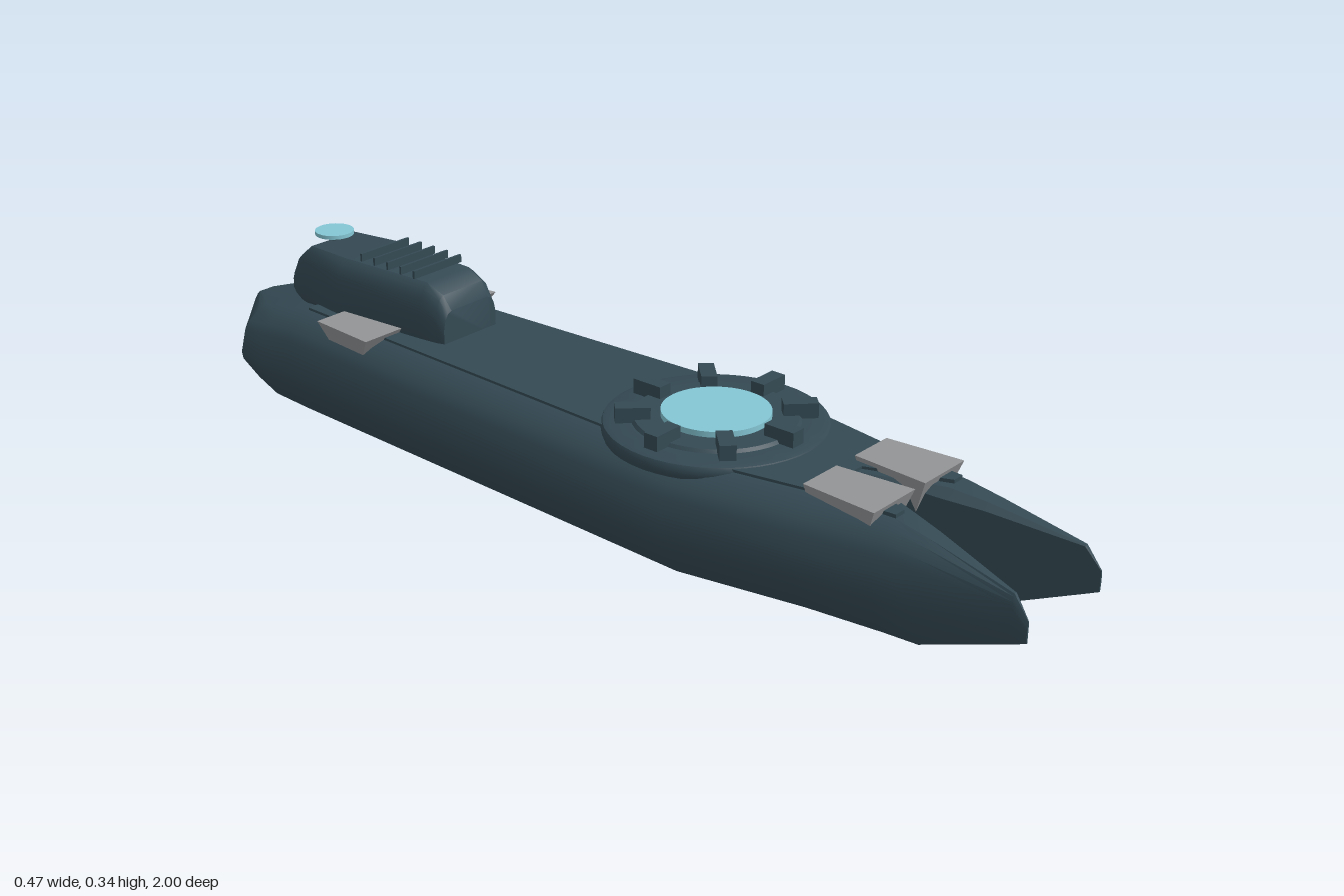
import * as THREE from 'three';
import { toCreasedNormals } from 'three/addons/utils/BufferGeometryUtils.js';

const material = (name, color) => {
  const m = new THREE.MeshStandardMaterial({ color });
  m.name = name;
  return m;
};

// Skin closed rings of [x, y, z], counter-clockwise seen from +z, ordered towards +z
function loft(rings, crease = 0.5) {
  const n = rings[0].length, last = (rings.length - 1) * n, index = [];
  for (let i = 0; i < rings.length - 1; i++) {
    for (let j = 0; j < n; j++) {
      const a = i * n + j, b = i * n + (j + 1) % n;
      index.push(a, b, b + n, a, b + n, a + n);
    }
  }
  for (let j = 1; j < n - 1; j++) {
    index.push(0, j + 1, j, last, last + j, last + j + 1);
  }
  const g = new THREE.BufferGeometry();
  g.setAttribute('position', new THREE.Float32BufferAttribute(rings.flat(2), 3));
  g.setIndex(index);
  return toCreasedNormals(g, crease);
}

const mirrorRings = (rings) => rings.map((r) => r.map(([x, y, z]) => [-x, y, z]).reverse());

// Half of a hull section, from the inner bottom corner round to the inner top
function hullRing([z, xi, xo, yb, yt]) {
  const k = Math.min(1, (xo - xi) / 0.15), h = yt - yb, bevel = xi > 0 ? 0.02 * k : 0;
  return [
    [xi, yb], [xo - 0.055 * k, yb], [xo - 0.042 * k, yb + 0.05 * h],
    [xo - 0.003 * k, yb + 0.38 * h], [xo, yb + 0.48 * h], [xo - 0.013 * k, yb + 0.76 * h],
    [xo - 0.027 * k, yb + 0.86 * h], [xo - 0.05 * k, yb + 0.95 * h],
    [xo - 0.075 * k, yt], [xi + bevel, yt], [xi, yt - bevel],
  ].map(([x, y]) => [x, y, z]);
}

// Rounded cabin section
function cabinRing([z, w, yb, yt]) {
  const h = yt - yb;
  const half = [
    [0.8 * w, yb], [w, yb + 0.2 * h], [w, yb + 0.55 * h], [0.94 * w, yb + 0.78 * h],
    [0.84 * w, yb + 0.93 * h], [0.7 * w, yt],
  ];
  return [...half, ...half.map(([x, y]) => [-x, y]).reverse()].map(([x, y]) => [x, y, z]);
}

// Tapered intake block: broad top, narrow base, narrower towards the rear
function intakeGeometry(depth) {
  const ring = (z, top, bottom, drop) => [
    [-bottom, -drop, z], [bottom, -drop, z], [top, 0, z], [-top, 0, z],
  ];
  const rings = [ring(-0.077, 0.048, 0.036, depth), ring(0.077, 0.06, 0.043, depth)];
  rings[0].slice(0, 2).forEach((p) => { p[2] += 0.025; });
  rings[1].slice(0, 2).forEach((p) => { p[2] -= 0.03; });
  return loft(rings, 0.2);
}

export function createModel() {
  const model = new THREE.Group();
  const dark = material('dark slate', 0x344953);
  const cyan = material('pale cyan', 0x84c6d4);
  const grey = material('grey metal', 0x929496);

  const add = (name, geometry, mat, x = 0, y = 0, z = 0, parent = model) => {
    const mesh = new THREE.Mesh(geometry, mat);
    mesh.name = name;
    mesh.position.set(x, y, z);
    parent.add(mesh);
    return mesh;
  };

  // Hull halves: pointed stern, split twin-pronged bow
  // z, inner x, outer x, bottom, top
  const hull = [
    [-1, 0, 0.004, 0.08, 0.11],
    [-0.97, 0, 0.038, 0.07, 0.155],
    [-0.84, 0, 0.183, 0.022, 0.187],
    [-0.78, 0, 0.188, 0.002, 0.198],
    [-0.7, 0, 0.191, 0, 0.21],
    [0.33, 0, 0.235, 0, 0.21],
    [0.58, 0, 0.19, 0, 0.21],
    [0.73, 0.04, 0.163, 0, 0.208],
    [0.8, 0.06, 0.151, 0.003, 0.197],
    [0.97, 0.106, 0.121, 0.068, 0.16],
    [1, 0.113, 0.117, 0.08, 0.12],
  ].map(hullRing);
  add('leftHull', loft(hull), dark);
  add('rightHull', loft(mirrorRings(hull)), dark);

  // Thin raised deck
  const side = [[0.115, -0.7], [0.16, 0.33], [0.11, 0.6], [0.1, 0.73], [0.075, 0.73]];
  const outline = [
    ...side, [0.015, 0.58], [-0.015, 0.58],
    ...side.map(([x, z]) => [-x, z]).reverse(),
  ].map(([x, z]) => new THREE.Vector2(x, z));
  const deck = new THREE.ExtrudeGeometry(new THREE.Shape(outline), { depth: 0.014, bevelEnabled: false });
  deck.rotateX(Math.PI / 2);
  add('deckPlate', deck, dark, 0, 0.215, 0);

  // Circular pad with glowing centre and radial clamps
  const pad = new THREE.Group();
  pad.name = 'circularPad';
  pad.position.z = 0.27;
  model.add(pad);
  const profile = [
    [0, 0.187], [0.198, 0.187], [0.207, 0.191], [0.21, 0.198], [0.21, 0.21],
    [0.206, 0.217], [0.197, 0.22], [0.155, 0.22], [0.15, 0.226], [0, 0.226],
  ].map(([r, y]) => new THREE.Vector2(r, y));
  add('padRing', toCreasedNormals(new THREE.LatheGeometry(profile, 48), 0.6), dark, 0, 0, 0, pad);
  add('padLight', new THREE.CylinderGeometry(0.101, 0.101, 0.017, 48), cyan, 0, 0.2285, 0, pad);
  for (let i = 0; i < 8; i++) {
    const clamp = new THREE.Group();
    clamp.name = 'clamp';
    clamp.rotation.y = i * Math.PI / 4;
    pad.add(clamp);
    add('clampBlock', new THREE.BoxGeometry(0.03, 0.03, 0.064), dark, 0, 0.234, 0.152, clamp);
  }

  // Intake blocks at bow and stern
  const bowIntake = intakeGeometry(0.085), sternIntake = intakeGeometry(0.045);
  for (const s of [1, -1]) {
    add('bowIntake', bowIntake, grey, s * 0.075, 0.224, 0.633);
    add('sternIntake', sternIntake, grey, s * 0.122, 0.225, -0.535);
  }

  // Cabin
  const cabin = [
    [-0.8, 0.066, 0.21, 0.265],
    [-0.785, 0.073, 0.195, 0.292],
    [-0.745, 0.084, 0.185, 0.322],
    [-0.63, 0.099, 0.185, 0.326],
    [-0.41, 0.082, 0.185, 0.326],
    [-0.37, 0.077, 0.19, 0.308],
    [-0.352, 0.072, 0.2, 0.28],
  ].map(cabinRing);
  add('cabin', loft(cabin, 0.6), dark);

  // Louvre slats and round sensor above the cabin
  for (let i = 0; i < 5; i++) {
    add('louvre', new THREE.BoxGeometry(0.13, 0.016, 0.005), dark, 0, 0.336, -0.59 + i * 0.0375);
  }
  add('sensorDisc', new THREE.CylinderGeometry(0.04, 0.04, 0.008, 32), cyan, 0, 0.339, -0.74);
  add('sensorPost', new THREE.CylinderGeometry(0.008, 0.008, 0.02, 12), dark, 0, 0.327, -0.74);

  return model;
}
